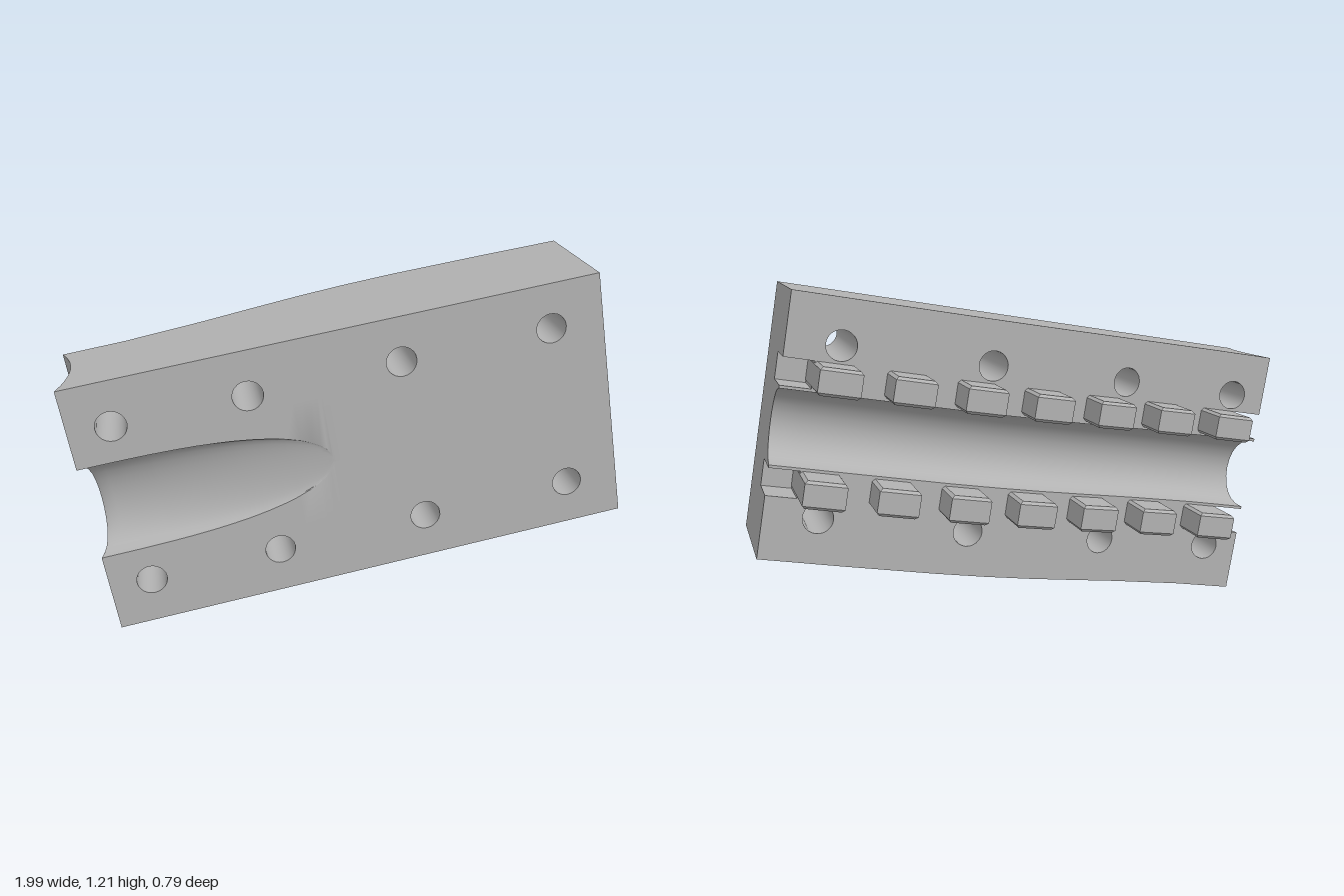
import * as THREE from 'three';
import { toCreasedNormals } from 'three/addons/utils/BufferGeometryUtils.js';

const L = 0.926, H = 0.457, RAIL = 0.235, SLOT = 0.14, NOTCH = 0.155;

// block thickness along its length: [u, depth]
const KNOTS = [[-L, .36], [-.87, .36], [-.69, .363], [-.41, .395], [-.23, .425], [-.05, .452],
  [.12, .468], [.30, .475], [.65, .468], [.83, .46], [L, .457]];
const HOLES = [-.78, -.32, .21, .74];

function depth(u) {
  let i = 0;
  while (i < KNOTS.length - 2 && u > KNOTS[i + 1][0]) i++;
  const [a, da] = KNOTS[i], [b, db] = KNOTS[i + 1];
  return da + (db - da) * (u - a) / (b - a);
}

// collects triangles; the left end is hollowed by a rule
function makeSkin() {
  const pos = [];
  const put = ([u, v, w]) => {
    if (u < -L + 0.0005) {
      const f = -w / 0.36;
      u += 0.16 * f * (1 - f) + 0.015 * f;
    }
    pos.push(u, v, w);
  };
  const tri = (a, b, c) => { put(a); put(b); put(c); };
  const quad = (a, b, c, d) => { tri(a, b, c); tri(a, c, d); };
  const mix = (a, b, t) => a.map((x, i) => x + (b[i] - x) * t);
  // wall from front edge f0-f1 to back edge b0-b1
  const wall = (f0, b0, f1, b1, n = 8) => {
    for (let k = 0; k < n; k++) {
      const s = k / n, t = (k + 1) / n;
      quad(mix(f0, b0, s), mix(f1, b1, s), mix(f1, b1, t), mix(f0, b0, t));
    }
  };
  const finish = () => {
    const g = new THREE.BufferGeometry();
    g.setAttribute('position', new THREE.Float32BufferAttribute(pos, 3));
    return toCreasedNormals(g, 0.5);
  };
  return { tri, quad, wall, finish };
}

// outer rail with bolt holes
function railGeometry(side) {
  const { tri, wall, finish } = makeSkin();
  const v0 = side > 0 ? RAIL : -H, v1 = side > 0 ? H : -RAIL;
  const F = (u, v) => [u, v, 0], B = (u, v) => [u, v, -depth(u)];
  for (let i = 0; i < KNOTS.length - 1; i++) {
    const a = KNOTS[i][0], b = KNOTS[i + 1][0];
    const shape = new THREE.Shape([[a, v0], [b, v0], [b, v1], [a, v1]].map(p => new THREE.Vector2(...p)));
    const hu = HOLES.find(h => h > a && h < b);
    if (hu !== undefined) {
      const ring = [];
      for (let k = 0; k < 24; k++) {
        const t = k / 24 * Math.PI * 2;
        ring.push(new THREE.Vector2(hu + 0.053 * Math.cos(t), side * 0.297 + 0.053 * Math.sin(t)));
      }
      shape.holes.push(new THREE.Path(ring));
      ring.forEach((p, k) => {
        const q = ring[(k + 1) % 24];
        wall(F(p.x, p.y), B(p.x, p.y), F(q.x, q.y), B(q.x, q.y), 1);
      });
    }
    const g = new THREE.ShapeGeometry(shape).toNonIndexed(), p = g.attributes.position;
    for (let k = 0; k < p.count; k += 3) {
      const c = [0, 1, 2].map(j => [p.getX(k + j), p.getY(k + j)]);
      tri(F(...c[0]), F(...c[1]), F(...c[2]));
      tri(B(...c[0]), B(...c[2]), B(...c[1]));
    }
    if (side > 0) wall(F(a, H), B(a, H), F(b, H), B(b, H));
    else wall(F(b, -H), B(b, -H), F(a, -H), B(a, -H));
  }
  wall(F(-L, v0), B(-L, v0), F(-L, v1), B(-L, v1));
  wall(F(L, v1), B(L, v1), F(L, v0), B(L, v0));
  return finish();
}

// middle: tapering groove in front, round trough and end notches behind
function coreGeometry() {
  const { quad, wall, finish } = makeSkin();
  const stations = KNOTS.map(k => [k[0], false]);
  for (let k = 1; k <= 16; k++) stations.push([-L + 0.85 * Math.sin(k / 16 * Math.PI / 2), false]);
  stations.push([-.8, false], [.82, false]);
  stations.sort((a, b) => a[0] - b[0]);
  const rows = [];
  for (const [u] of stations) {
    const inEnd = u < -.8 || u > .82;
    if (u === .82) rows.push([u, false], [u, true]);
    else if (u === -.8) rows.push([u, true], [u, false]);
    else rows.push([u, inEnd]);
  }
  const sections = rows.map(([u, notched]) => {
    const d = depth(u), low = notched ? d - NOTCH : d;
    const back = [[u, -RAIL, -d], [u, -RAIL, -low], [u, -SLOT, -low], [u, -SLOT, -d]];
    for (let k = 0; k <= 12; k++) {
      const a = (k / 12 - 0.5) * Math.PI;
      back.push([u, 0.13 * Math.sin(a), -d + 0.115 * Math.cos(a)]);
    }
    back.push([u, SLOT, -d], [u, SLOT, -low], [u, RAIL, -low], [u, RAIL, -d]);
    const k = Math.min(1, (u + L) / 0.85);
    const hw = Math.max(0.02, 0.17 * Math.sqrt(Math.max(0, 1 - k ** 3))), gd = 0.12 * (1 - k);
    const front = back.map((p, i) => {
      if (i < 2) return [u, -RAIL, 0];
      if (i > 18) return [u, RAIL, 0];
      const a = (Math.min(Math.max((i - 3) / 14, 0), 1) - 0.5) * Math.PI;
      return [u, hw * Math.sin(a), -gd * Math.cos(a)];
    });
    return { front, back };
  });
  const n = sections[0].back.length, last = sections[sections.length - 1], first = sections[0];
  for (let i = 0; i < n - 1; i++) {
    for (let j = 0; j < sections.length - 1; j++) {
      const A = sections[j], C = sections[j + 1];
      quad(A.front[i], C.front[i], C.front[i + 1], A.front[i + 1]);
      quad(A.back[i], A.back[i + 1], C.back[i + 1], C.back[i]);
    }
    wall(first.front[i], first.back[i], first.front[i + 1], first.back[i + 1]);
    wall(last.front[i + 1], last.back[i + 1], last.front[i], last.back[i]);
  }
  return finish();
}

// one tooth, following the slope of the back
function toothGeometry(u0, u1) {
  const c = 0.01, top = u => -depth(u) - 0.152, base = u => -depth(u) + NOTCH;
  const shape = new THREE.Shape([[u0, base(u0)], [u1, base(u1)], [u1, top(u1)], [u0, top(u0)]]
    .map(p => new THREE.Vector2(...p)));
  const g = new THREE.ExtrudeGeometry(shape, {
    depth: RAIL - SLOT - 2 * c, bevelEnabled: true, bevelThickness: c, bevelSize: c, bevelOffset: -c, bevelSegments: 1,
  });
  return g.rotateX(Math.PI / 2).translate(0, -c, 0);
}

export function createModel() {
  const grey = new THREE.MeshStandardMaterial({ color: 0xb2b2b2 });
  grey.name = 'grey';
  const block = new THREE.Group();
  block.name = 'clampBlock';
  const add = (name, geometry) => {
    const m = new THREE.Mesh(geometry, grey);
    m.name = name;
    block.add(m);
    return m;
  };
  add('upperRail', railGeometry(1));
  add('lowerRail', railGeometry(-1));
  add('troughCore', coreGeometry());
  // two rows of seven teeth
  for (let i = 0; i < 7; i++) {
    const u = -0.802 + i * 0.247;
    const g = toothGeometry(u, u + 0.142);
    add('upperTooth', g).position.y = RAIL;
    add('lowerTooth', g).position.y = -SLOT;
  }
  // tilt of the whole block
  block.rotation.set(0, THREE.MathUtils.degToRad(5.6), THREE.MathUtils.degToRad(9.5), 'YXZ');
  block.position.set(0.01, 0.605, 0.297);
  const model = new THREE.Group();
  model.name = 'model';
  model.add(block);
  return model;
}
